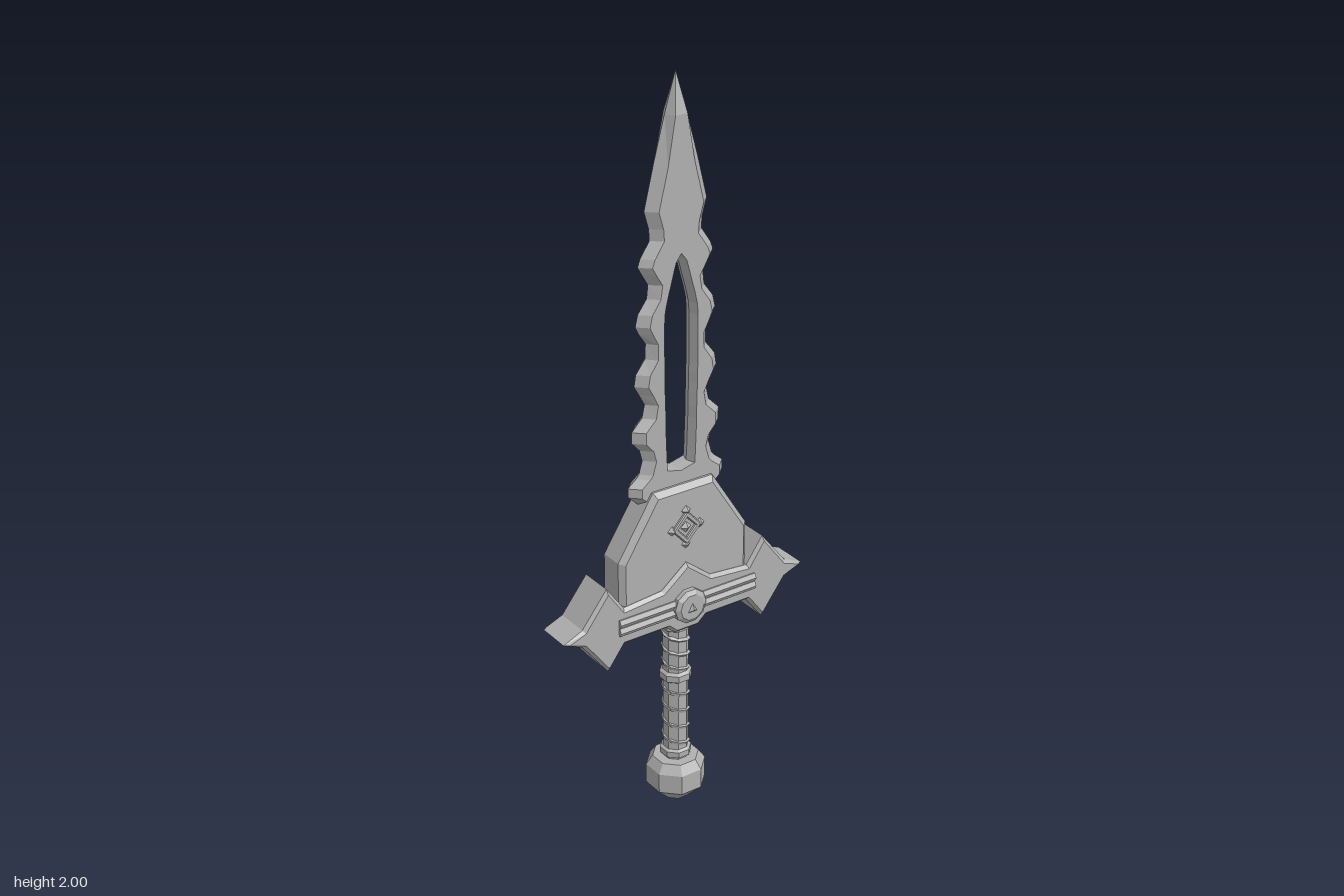
import * as THREE from 'three';

const steel = new THREE.MeshStandardMaterial({ color: 0xb0b0b0, flatShading: true });
steel.name = 'grey steel';

function add(parent, name, geometry, x = 0, y = 0, z = 0) {
  const mesh = new THREE.Mesh(geometry, steel);
  mesh.name = name;
  mesh.position.set(x, y, z);
  parent.add(mesh);
  return mesh;
}

// Outline given for the +x half from top to bottom, mirrored to a closed shape
function mirroredShape(half) {
  const left = half.filter(p => p[0] > 0).reverse().map(([x, y]) => [-x, y]);
  return new THREE.Shape([...half, ...left].map(([x, y]) => new THREE.Vector2(x, y)));
}

// Plate centred on z = 0 with chamfered edges inside the outline
function plate(shape, halfDepth, bevel) {
  const g = new THREE.ExtrudeGeometry(shape, {
    depth: 2 * (halfDepth - bevel), bevelEnabled: true, bevelThickness: bevel,
    bevelSize: bevel, bevelOffset: -bevel, bevelSegments: 1, curveSegments: 8
  });
  return g.translate(0, 0, -(halfDepth - bevel));
}

// Half of the blade, lofted from [y, inner x, outer x] stations
function bladeHalf(stations, side) {
  const rings = stations.map(([y, xi, xo]) => {
    const t = 0.025 * Math.min(1, (2 - y) / 0.1);
    const b = Math.min(0.026, (xo - xi) * 0.45);
    const bi = xi > 0 ? 0.009 : 0;
    return [[xi, 0], [xi + bi, t], [xo - b, t], [xo, 0], [xo - b, -t], [xi + bi, -t]]
      .map(([x, z]) => [x * side, y, z]);
  });
  const pos = [];
  for (let s = 0; s < rings.length - 1; s++) {
    for (let k = 0; k < 6; k++) {
      const n = (k + 1) % 6;
      const a = rings[s][k], b = rings[s][n], c = rings[s + 1][n], d = rings[s + 1][k];
      pos.push(...(side > 0 ? [a, b, c, a, c, d] : [a, c, b, a, d, c]).flat());
    }
  }
  const g = new THREE.BufferGeometry();
  g.setAttribute('position', new THREE.Float32BufferAttribute(pos, 3));
  g.computeVertexNormals();
  return g;
}

function lathe(points, sides) {
  return new THREE.LatheGeometry(points.map(([r, y]) => new THREE.Vector2(r, y)), sides)
    .rotateY(Math.PI / sides);
}

// Raised wrap winding up the grip
function wrap(y0, y1, turns) {
  const pts = [];
  const n = turns * 10;
  for (let i = 0; i <= n; i++) {
    const a = (i / n) * turns * Math.PI * 2;
    pts.push(new THREE.Vector3(Math.cos(a) * 0.033, y0 + (y1 - y0) * i / n, Math.sin(a) * 0.033));
  }
  return new THREE.TubeGeometry(new THREE.CatmullRomCurve3(pts), n, 0.006, 4);
}

export function createModel() {
  const sword = new THREE.Group();
  sword.name = 'sword';

  // Wavy blade with a long central slot
  const stations = [
    [0.895, 0, 0.1], [0.915, 0, 0.115], [0.94, 0, 0.143], [0.965, 0, 0.143], [0.985, 0, 0.118],
    [0.995, 0.032, 0.11], [1.03, 0.034, 0.1], [1.06, 0.035, 0.108], [1.085, 0.036, 0.13],
    [1.115, 0.037, 0.13], [1.145, 0.037, 0.1], [1.18, 0.038, 0.092], [1.21, 0.039, 0.108],
    [1.235, 0.039, 0.122], [1.265, 0.04, 0.117], [1.3, 0.04, 0.09], [1.34, 0.04, 0.088],
    [1.37, 0.04, 0.108], [1.39, 0.04, 0.117], [1.42, 0.038, 0.11], [1.455, 0.03, 0.084],
    [1.49, 0.02, 0.08], [1.52, 0.012, 0.098], [1.54, 0.006, 0.109], [1.56, 0, 0.102],
    [1.6, 0, 0.075], [1.63, 0, 0.077], [1.675, 0, 0.09], [1.78, 0, 0.064], [1.9, 0, 0.031], [2, 0, 0]
  ];
  const blade = new THREE.Group();
  blade.name = 'blade';
  sword.add(blade);
  add(blade, 'leftBlade', bladeHalf(stations, 1));
  add(blade, 'rightBlade', bladeHalf(stations, -1));

  // Shield-like base of the blade
  add(sword, 'bladeBase', plate(mirroredShape(
    [[0.09, 0.95], [0.195, 0.785], [0.195, 0.58]]), 0.045, 0.014));

  // Crossguard with pointed diamond ends
  add(sword, 'crossguard', plate(mirroredShape([
    [0, 0.735], [0.075, 0.675], [0.19, 0.665], [0.24, 0.735], [0.313, 0.642], [0.368, 0.617],
    [0.313, 0.592], [0.24, 0.497], [0.19, 0.562], [0.06, 0.562], [0.035, 0.54], [0, 0.54]
  ]), 0.055, 0.009));

  // Trim and ornaments, the same on both faces
  for (const [name, turn] of [['front', 0], ['back', Math.PI]]) {
    const trim = new THREE.Group();
    trim.name = name + 'Trim';
    trim.rotation.y = turn;
    sword.add(trim);

    for (const y of [0.604, 0.628]) {
      add(trim, 'guardBar', new THREE.CylinderGeometry(0.013, 0.013, 0.42, 6).rotateZ(Math.PI / 2), 0, y, 0.052);
    }
    add(trim, 'boss', lathe([[0.048, 0], [0.048, 0.018], [0.036, 0.026], [0, 0.026]], 10)
      .rotateX(Math.PI / 2), 0, 0.616, 0.05);
    add(trim, 'bossPoint', new THREE.ConeGeometry(0.024, 0.012, 3)
      .rotateX(Math.PI / 2).rotateZ(Math.PI), 0, 0.612, 0.078);

    // Diamond emblem: four studs around a framed pyramid
    const frame = new THREE.Shape([[0.044, 0], [0, 0.048], [-0.044, 0], [0, -0.048]]
      .map(p => new THREE.Vector2(...p)));
    frame.holes.push(new THREE.Path([[0.026, 0], [0, -0.028], [-0.026, 0], [0, 0.028]]
      .map(p => new THREE.Vector2(...p))));
    add(trim, 'emblemFrame', plate(frame, 0.007, 0.003), 0, 0.835, 0.046);
    add(trim, 'emblemPyramid', new THREE.ConeGeometry(0.019, 0.012, 4).rotateX(Math.PI / 2), 0, 0.835, 0.049);
    for (let i = 0; i < 4; i++) {
      const a = i * Math.PI / 2;
      add(trim, 'emblemStud', new THREE.ConeGeometry(0.017, 0.016, 4).rotateX(Math.PI / 2),
        Math.cos(a) * 0.042, 0.835 + Math.sin(a) * 0.047, 0.05);
    }
  }

  // Grip with collars and spiral wrap
  add(sword, 'grip', lathe([[0.034, 0.12], [0.034, 0.56]], 8));
  for (const [y, r, h] of [[0.15, 0.042, 0.016], [0.385, 0.043, 0.018], [0.535, 0.04, 0.014]]) {
    add(sword, 'gripCollar', lathe([[0.03, y - h], [r, y - h / 2], [r, y + h / 2], [0.03, y + h]], 8));
  }
  add(sword, 'lowerWrap', wrap(0.17, 0.37, 4));
  add(sword, 'upperWrap', wrap(0.4, 0.53, 3));

  // Faceted pommel
  add(sword, 'pommel', lathe([[0, 0], [0.035, 0.008], [0.08, 0.052], [0.08, 0.108], [0.062, 0.133], [0, 0.133]], 8));

  return sword;
}
